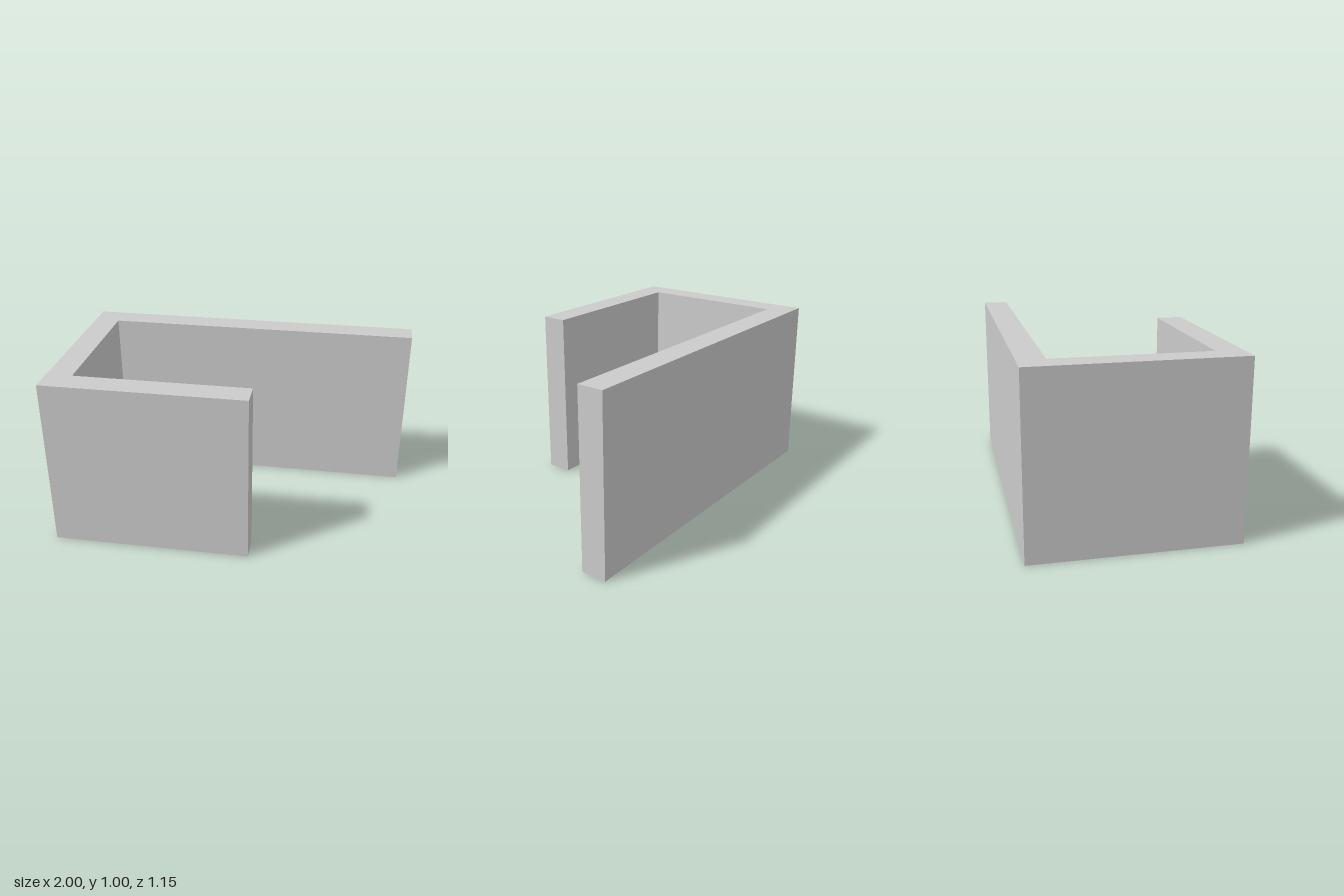
import * as THREE from 'three';

export function createModel() {
  const group = new THREE.Group();
  const material = new THREE.MeshStandardMaterial({ color: 0xcccccc });

  const height = 1, thickness = 0.148;
  const left = -1, longEnd = 1, shortEnd = 0.147;
  const outer = 0.574, inner = outer - thickness;

  // Plan outline of the J-shaped channel; shape +y becomes the back (-z)
  const plan = new THREE.Shape([
    [left, -outer], [shortEnd, -outer], [shortEnd, -inner], [left + thickness, -inner],
    [left + thickness, inner], [longEnd, inner], [longEnd, outer], [left, outer],
  ].map(([x, y]) => new THREE.Vector2(x, y)));

  // Raise the outline into walls of constant height
  const geometry = new THREE.ExtrudeGeometry(plan, { depth: height, bevelEnabled: false });
  geometry.rotateX(-Math.PI / 2);

  const walls = new THREE.Mesh(geometry, material);
  walls.name = 'channelWalls';
  group.add(walls);
  return group;
}
